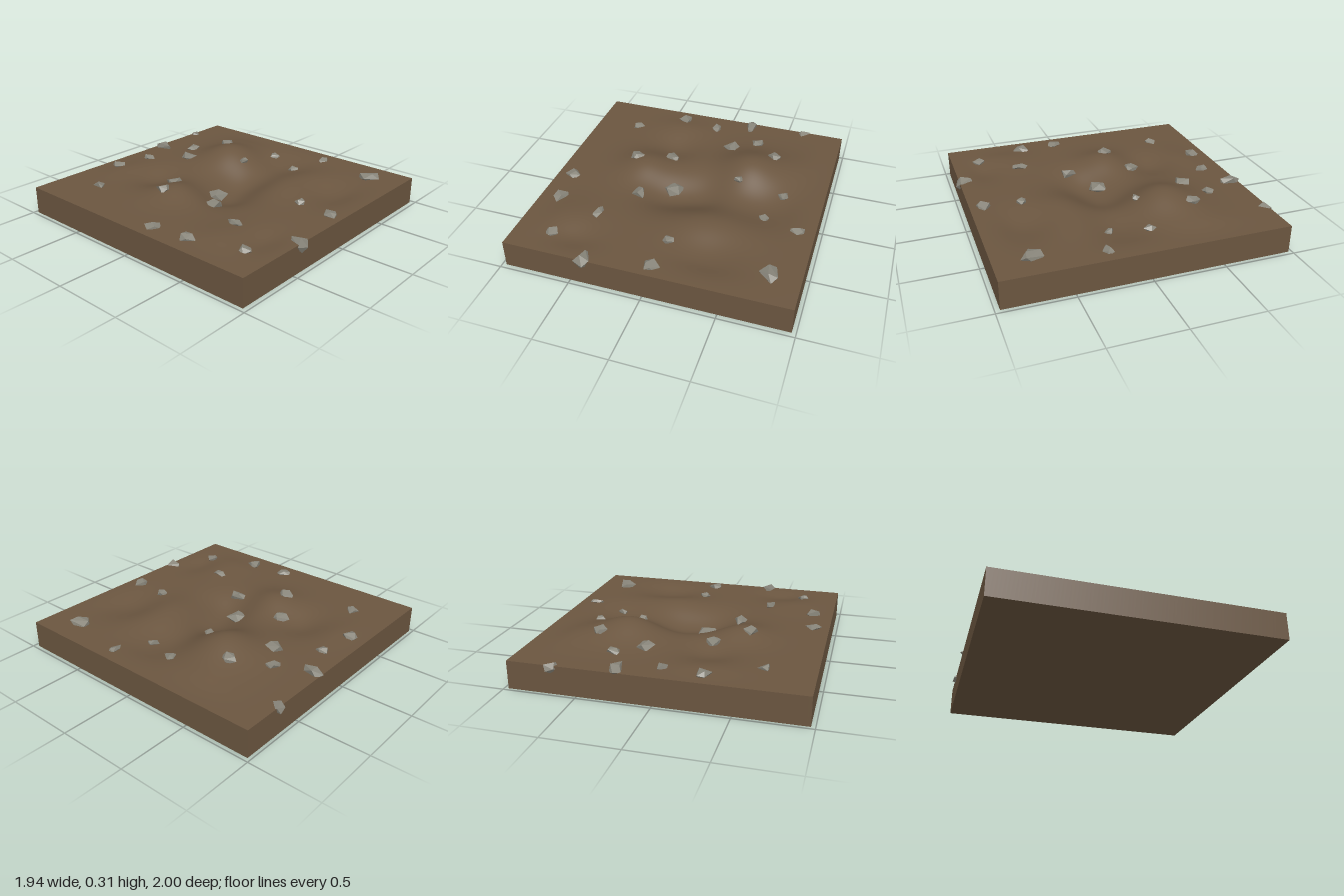
import * as THREE from 'three';
import { ConvexGeometry } from 'three/addons/geometries/ConvexGeometry.js';

const TOP = 0.195, HALF = 0.972;

// Hills and hollows: x, z, height, radius
const MOUNDS = [
  [0.38, -0.3, 0.112, 0.17], [-0.38, -0.14, 0.065, 0.14],
  [-0.14, 0.11, -0.075, 0.14], [0.12, 0.03, -0.08, 0.15], [0.55, 0.08, -0.045, 0.16],
  [0.2, 0.38, 0.035, 0.15], [0.45, 0.38, 0.025, 0.15], [0.35, 0.64, -0.04, 0.16],
  [-0.25, -0.47, -0.045, 0.13], [-0.28, -0.75, 0.018, 0.14],
  [-0.65, 0.58, 0.022, 0.14], [-0.55, 0.8, -0.03, 0.12], [0.68, -0.45, 0.02, 0.15],
];

// Stones: x, z, width, depth, height, optional centre height
const STONES = [
  [-0.30, -0.86, 0.10, 0.10, 0.06], [-0.02, -0.81, 0.07, 0.10, 0.05],
  [0.24, -0.92, 0.08, 0.15, 0.07], [0.66, -0.95, 0.10, 0.10, 0.08, 0.175],
  [-0.63, -0.66, 0.08, 0.09, 0.05], [0.35, -0.68, 0.09, 0.08, 0.05],
  [0.17, -0.56, 0.12, 0.12, 0.06], [0.53, -0.47, 0.10, 0.12, 0.07],
  [-0.23, -0.33, 0.10, 0.11, 0.06], [-0.46, -0.19, 0.10, 0.11, 0.06],
  [0.34, -0.13, 0.07, 0.06, 0.05], [0.68, -0.09, 0.08, 0.09, 0.05],
  [-0.12, -0.01, 0.14, 0.13, 0.07], [-0.86, 0.12, 0.12, 0.11, 0.04],
  [-0.33, 0.15, 0.11, 0.11, 0.07], [0.60, 0.16, 0.07, 0.08, 0.05],
  [0.85, 0.26, 0.10, 0.07, 0.04], [-0.83, 0.41, 0.11, 0.12, 0.06],
  [-0.49, 0.49, 0.06, 0.12, 0.05], [0.06, 0.61, 0.08, 0.07, 0.05],
  [-0.71, 0.77, 0.09, 0.09, 0.05], [0.04, 0.87, 0.11, 0.10, 0.06],
  [0.76, 0.72, 0.13, 0.15, 0.07], [-0.41, 0.93, 0.11, 0.13, 0.11, 0.175],
];

// Terrain height, fading to level at the rim
function groundHeight(x, z) {
  const edge = HALF - Math.max(Math.abs(x), Math.abs(z));
  const fade = THREE.MathUtils.smoothstep(edge, 0, 0.25);
  let h = 0;
  for (const [mx, mz, a, r] of MOUNDS) {
    h += a * Math.exp(-((x - mx) ** 2 + (z - mz) ** 2) / (2 * r * r));
  }
  return TOP + h * fade;
}

function seeded(seed) {
  let s = seed;
  return () => (s = (s * 16807) % 2147483647) / 2147483647;
}

// Angular stone: hull of a few jittered sphere points, fitted to its size
function stoneGeometry(w, h, d, seed) {
  const rnd = seeded(seed * 7919 + 31);
  for (let i = 0; i < 5; i++) rnd();
  const points = [];
  const turn = rnd() * Math.PI * 2;
  for (let i = 0; i < 9; i++) {
    const y = 1 - (2 * (i + 0.5)) / 9;
    const a = turn + i * 2.4 + (rnd() - 0.5) * 0.9;
    const r = Math.sqrt(1 - y * y) * (0.75 + rnd() * 0.4);
    points.push(new THREE.Vector3(r * Math.cos(a), y + (rnd() - 0.5) * 0.3, r * Math.sin(a)));
  }
  const box = new THREE.Box3().setFromPoints(points);
  const size = box.getSize(new THREE.Vector3());
  const mid = box.getCenter(new THREE.Vector3());
  const fit = new THREE.Vector3(w, h, d).divide(size);
  points.forEach((p) => p.sub(mid).multiply(fit));
  return new ConvexGeometry(points);
}

export function createModel() {
  const model = new THREE.Group();
  model.name = 'rockyGround';
  const soil = new THREE.MeshStandardMaterial({ color: 0x6b5640 });
  soil.name = 'soilBrown';
  const rock = new THREE.MeshStandardMaterial({ color: 0x88857a });
  rock.name = 'stoneGrey';

  // Earth slab with a sculpted top face
  const slab = new THREE.BoxGeometry(HALF * 2, TOP, HALF * 2, 80, 1, 80);
  slab.translate(0, TOP / 2, 0);
  const pos = slab.attributes.position;
  for (let i = 0; i < pos.count; i++) {
    if (pos.getY(i) > TOP / 2) pos.setY(i, groundHeight(pos.getX(i), pos.getZ(i)));
  }
  slab.computeVertexNormals();
  const ground = new THREE.Mesh(slab, soil);
  ground.name = 'ground';
  ground.position.z = -0.005;
  model.add(ground);

  // Scattered half-buried stones
  const stones = new THREE.Group();
  stones.name = 'stones';
  STONES.forEach(([x, z, w, d, h, y], i) => {
    const mesh = new THREE.Mesh(stoneGeometry(w, h, d, i + 1), rock);
    mesh.name = `stone${i + 1}`;
    mesh.position.set(x, y ?? groundHeight(x, z) + 0.003, z);
    stones.add(mesh);
  });
  model.add(stones);
  return model;
}
